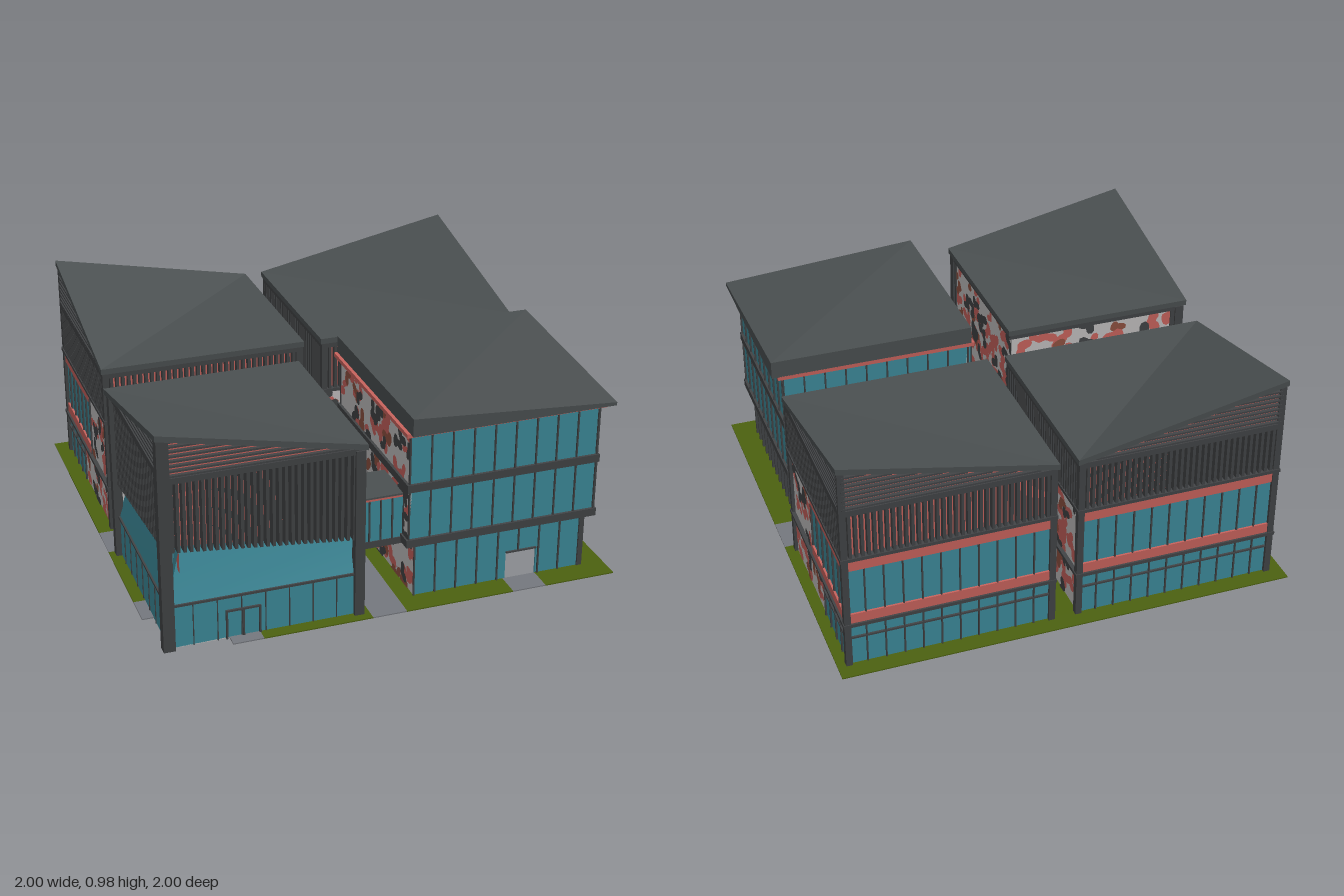
import * as THREE from 'three';
import { mergeGeometries } from 'three/addons/utils/BufferGeometryUtils.js';

const mat = (name, color) => Object.assign(new THREE.MeshStandardMaterial({ color }), { name });
const M = {
  roof: mat('roofGrey', 0x4b5051), frame: mat('frameGrey', 0x424446), glass: mat('tealGlass', 0x3d8b9b),
  red: mat('salmonRed', 0xc8635d), light: mat('lightGrey', 0xc2c0c0), brown: mat('patchBrown', 0x8f5140),
  grass: mat('grassGreen', 0x4c6110), pave: mat('pavingGrey', 0x75787e),
};

let seed = 7;
const rnd = () => (seed = (seed * 16807) % 2147483647) / 2147483647;

function add(parent, name, geo, material) {
  const m = new THREE.Mesh(geo, material);
  m.name = name;
  parent.add(m);
  return m;
}
const boxGeo = (x0, x1, y0, y1, z0, z1) => new THREE.BoxGeometry(x1 - x0, y1 - y0, z1 - z0)
  .translate((x0 + x1) / 2, (y0 + y1) / 2, (z0 + z1) / 2);
const box = (p, name, m, ...d) => add(p, name, boxGeo(...d), m);
const pane = (p, name, m, x0, x1, y0, y1, z = 0) =>
  add(p, name, new THREE.PlaneGeometry(x1 - x0, y1 - y0).translate((x0 + x1) / 2, (y0 + y1) / 2, z), m);

function group(parent, name) {
  const g = new THREE.Group();
  g.name = name;
  parent.add(g);
  return g;
}

// Wall group: local x runs along the wall, local z points outwards
function face(parent, side, [x0, x1, z0, z1]) {
  const g = group(parent, side + 'Wall'), cx = (x0 + x1) / 2, cz = (z0 + z1) / 2;
  const [x, z, turn] = { front: [cx, z1, 0], right: [x1, cz, 1], back: [cx, z0, 2], left: [x0, cz, 3] }[side];
  g.position.set(x, 0, z);
  g.rotation.y = turn * Math.PI / 2;
  const w = turn % 2 ? z1 - z0 : x1 - x0;
  return { g, h: w / 2 };
}

// Glass pane with evenly spaced mullions
function glazing(p, x0, x1, y0, y1, bays, t = 0.006, depth = 0.008) {
  pane(p, 'glass', M.glass, x0, x1, y0, y1);
  const bars = [];
  for (let i = 0; i <= bays; i++) {
    const x = x0 + (x1 - x0) * i / bays;
    bars.push(boxGeo(x - t / 2, x + t / 2, y0, y1, -0.004, depth));
  }
  add(p, 'mullions', mergeGeometries(bars), M.frame);
}

// Light wall covered with irregular patches, cut off at the wall edges
function camo(p, x0, x1, y0, y1) {
  box(p, 'patternWall', M.light, x0, x1, y0, y1, -0.01, 0);
  const area = (x1 - x0) * (y1 - y0);
  [[M.red, 125], [M.brown, 28], [M.frame, 55]].forEach(([m, density], layer) => {
    const blobs = [];
    for (let n = Math.max(2, Math.round(area * density)); n > 0; n--) {
      const cx = x0 + rnd() * (x1 - x0), cy = y0 + rnd() * (y1 - y0);
      const r = 0.026 + rnd() * 0.014, a = rnd() * 6.28, b = rnd() * 6.28;
      const geo = new THREE.CircleGeometry(1, 18), v = geo.attributes.position;
      for (let i = 1; i < v.count; i++) {
        const t = Math.atan2(v.getY(i), v.getX(i));
        const k = r * (1 + 0.4 * Math.sin(2 * t + a) + 0.25 * Math.sin(3 * t + b));
        v.setXY(i, v.getX(i) * k, v.getY(i) * k);
      }
      for (let i = 0; i < v.count; i++) {
        v.setXYZ(i, THREE.MathUtils.clamp(cx + v.getX(i), x0, x1),
          THREE.MathUtils.clamp(cy + v.getY(i), y0, y1), 0.0015 * (layer + 1));
      }
      blobs.push(geo);
    }
    add(p, 'patches', mergeGeometries(blobs), m);
  });
}

// Upright slats; bottom(x) gives the lower end
function slats(p, x0, x1, bottom, top, z0, z1) {
  const n = Math.round((x1 - x0) / 0.026), parts = [];
  for (let i = 0; i <= n; i++) {
    const x = x0 + (x1 - x0) * i / n;
    parts.push(boxGeo(x - 0.0065, x + 0.0065, bottom(x), top, z0, z1));
  }
  add(p, 'slats', mergeGeometries(parts), M.frame);
}

// Red gable rising towards the end hi (+1 or -1), with horizontal louvres
function gable(p, h, hi) {
  const y0 = 0.765, rise = 0.18;
  const s = new THREE.Shape([[-hi * h, y0], [hi * h, y0], [hi * h, y0 + rise]].map(q => new THREE.Vector2(...q)));
  add(p, 'gable', new THREE.ShapeGeometry(s), M.red);
  const parts = [];
  for (let y = y0 + 0.012; y < y0 + rise - 0.01; y += 0.021) {
    const a = hi * h * (2 * (y - y0) / rise - 1), b = hi * h;
    parts.push(boxGeo(Math.min(a, b), Math.max(a, b), y - 0.004, y + 0.004, 0, 0.016));
  }
  add(p, 'louvres', mergeGeometries(parts), M.frame);
}

// Folded roof: one corner (0 back left, 1 front left, 2 front right, 3 back right) differs in height
function roof(p, [x0, x1, z0, z1], corner, odd, rest, under) {
  const c = [[x0, z0], [x0, z1], [x1, z1], [x1, z0]];
  const top = [], low = [], pos = [];
  for (let i = 0; i < 4; i++) {
    const [x, z] = c[(corner + i) % 4], y = i ? rest : odd;
    top.push([x, y, z]);
    low.push([x, under ?? y - 0.025, z]);
  }
  const tri = (...v) => v.forEach(q => pos.push(...q));
  tri(top[0], top[1], top[3]); tri(top[1], top[2], top[3]);
  tri(low[0], low[3], low[1]); tri(low[1], low[3], low[2]);
  for (let i = 0; i < 4; i++) {
    const j = (i + 1) % 4;
    tri(top[i], low[i], low[j]); tri(top[i], low[j], top[j]);
  }
  const g = new THREE.BufferGeometry();
  g.setAttribute('position', new THREE.Float32BufferAttribute(pos, 3));
  g.computeVertexNormals();
  add(p, 'roof', g, M.roof);
}

const slab = (p, name, m, [x0, x1, z0, z1], e, y0, y1) => box(p, name, m, x0 - e, x1 + e, y0, y1, z0 - e, z1 + e);

// Rear buildings: s = 1 on the left side (+x), -1 on the other
function rearBuilding(root, s) {
  const b = group(root, s > 0 ? 'rearLeftBuilding' : 'rearRightBuilding');
  const R = s > 0 ? [0.07, 0.95, -0.92, -0.09] : [-0.93, -0.05, -0.92, -0.09];
  const outer = s > 0 ? 'right' : 'left';
  for (const side of ['front', 'right', 'back', 'left']) {
    const { g, h } = face(b, side, R);
    const span = (a, c) => (s > 0 ? [a, c] : [-c, -a]);
    const split = { [outer]: [0.08, -0.08], back: [-h, -h] }[side];
    if (split) {
      const low = span(split[0], h), up = span(split[1], h);
      const bays = side === 'back' ? 11 : 4;
      glazing(g, ...low, 0, 0.2, bays);
      box(g, 'transom', M.frame, ...low, 0.135, 0.143, 0, 0.009);
      glazing(g, ...up, 0.215, 0.525, side === 'back' ? 11 : 6);
      for (const [y0, y1] of [[0.215, 0.26], [0.475, 0.525]]) box(g, 'redBand', M.red, ...up, y0, y1, -0.002, 0.009);
      if (side === outer) {
        camo(g, ...span(-h, 0.08), 0, 0.2);
        camo(g, ...span(-h, -0.08), 0.215, 0.525);
      }
      gable(g, h, side === 'back' ? -s : s);
    } else {
      camo(g, -h, h, 0, 0.2);
      camo(g, -h, h, 0.215, 0.525);
    }
    pane(g, 'upperWall', M.red, -h, h, 0.54, 0.745, -0.012);
    slats(g, -h, h, () => 0.54, 0.745, -0.012, 0.014);
  }
  slab(b, 'lowerBand', M.frame, R, 0.018, 0.2, 0.215);
  slab(b, 'upperBand', M.frame, R, 0.018, 0.525, 0.54);
  slab(b, 'eavesBand', M.frame, R, 0.014, 0.742, 0.768);
  for (const x of [R[0], R[1]]) for (const z of [R[2], R[3]]) {
    const tall = x === (s > 0 ? R[1] : R[0]) && z === R[2];
    box(b, 'cornerColumn', M.frame, x - 0.014, x + 0.014, 0, tall ? 0.955 : 0.75, z - 0.014, z + 0.014);
  }
  roof(b, [R[0] - 0.02, R[1] + 0.02, -0.94, -0.07], s > 0 ? 3 : 0, 0.975, 0.79);
}

// Front building with leaning glass and a slatted screen
function screenBuilding(root) {
  const b = group(root, 'screenBuilding'), R = [-0.95, -0.14, 0.14, 0.945];
  for (const [side, hi] of [['front', -1], ['left', 1]]) {
    const { g, h } = face(b, side, R);
    const edge = x => 0.395 + hi * x / h * 0.045;
    glazing(g, -h, h, 0, 0.19, 8, 0.004, 0.004);
    box(g, 'sillBand', M.frame, -h, h, 0.19, 0.2, -0.01, 0.008);
    const glass = new THREE.PlaneGeometry(2 * h, 1), v = glass.attributes.position;
    for (let i = 0; i < 4; i++) {
      const up = v.getY(i) > 0;
      v.setXYZ(i, v.getX(i), up ? edge(v.getX(i)) : 0.2, up ? -0.05 : 0);
    }
    glass.computeVertexNormals();
    add(g, 'leaningGlass', glass, M.glass);
    pane(g, 'screenWall', M.red, -h, h, 0.34, 0.745, -0.052);
    slats(g, -h, h, edge, 0.745, -0.035, 0.005);
    gable(g, h, hi);
    if (side === 'front') {
      for (const x of [-0.165, -0.095, -0.025]) box(g, 'doorPost', M.frame, x - 0.004, x + 0.004, 0, 0.13, 0, 0.009);
      box(g, 'doorHead', M.frame, -0.169, -0.021, 0.125, 0.133, 0, 0.009);
    }
  }
  for (const side of ['right', 'back']) {
    const { g, h } = face(b, side, R);
    camo(g, -h, h, 0, 0.745);
  }
  slab(b, 'eavesBand', M.frame, R, 0.012, 0.742, 0.768);
  box(b, 'tallColumn', M.frame, -0.98, -0.93, 0, 0.945, 0.925, 0.97);
  box(b, 'frontColumn', M.frame, -0.167, -0.125, 0, 0.76, 0.925, 0.965);
  box(b, 'sideColumn', M.frame, -0.975, -0.935, 0, 0.76, 0.125, 0.165);
  roof(b, [-0.985, -0.12, 0.12, 0.975], 1, 0.968, 0.79);
}

// Front building with three glazed storeys and an open doorway
function glassBuilding(root) {
  const b = group(root, 'glassBuilding');
  const G = [0.12, 0.88, 0.13, 0.89], U = [0.08, 0.92, 0.11, 0.92];
  for (const side of ['front', 'right', 'back', 'left']) {
    const low = face(b, side, G), up = face(b, side, U);
    for (const [y0, y1] of [[0.295, 0.515], [0.55, 0.772]]) {
      if (side === 'left') camo(up.g, -up.h, up.h, y0, y1);
      else glazing(up.g, -up.h, up.h, y0, y1, 9);
    }
    const h = low.h;
    if (side === 'left') camo(low.g, -h, h, 0, 0.26);
    else if (side === 'front') {
      const d0 = 0.04, d1 = 0.18;
      box(low.g, 'glass', M.glass, -h, d0, 0, 0.26, -0.008, 0);
      box(low.g, 'glass', M.glass, d1, h, 0, 0.26, -0.008, 0);
      box(low.g, 'glass', M.glass, d0, d1, 0.13, 0.26, -0.008, 0);
      for (let i = 0; i <= 8; i++) {
        const x = -h + i * h / 4;
        box(low.g, 'mullion', M.frame, x - 0.003, x + 0.003, x > d0 && x < d1 ? 0.13 : 0, 0.26, 0, 0.008);
      }
      box(low.g, 'doorHead', M.frame, d0, d1, 0.128, 0.135, -0.008, 0.008);
    } else glazing(low.g, -h, h, 0, 0.26, 12, 0.01, side === 'right' ? 0.02 : 0.008);
  }
  slab(b, 'lowerBand', M.frame, U, 0.012, 0.26, 0.295);
  slab(b, 'upperBand', M.frame, U, 0.012, 0.515, 0.55);
  slab(b, 'redEaves', M.red, U, 0.025, 0.772, 0.79);
  roof(b, [0.07, 0.972, 0.085, 0.972], 2, 0.802, 0.867, 0.788);
}

// Glazed footbridge between two buildings
function bridge(root, R, alongX) {
  const b = group(root, 'bridge');
  for (const side of alongX ? ['front', 'back'] : ['left', 'right']) {
    const { g, h } = face(b, side, R);
    glazing(g, -h, h, 0.28, 0.468, 4);
  }
  slab(b, 'bridgeFloor', M.frame, R, 0.004, 0.25, 0.28);
  slab(b, 'redTrim', M.red, R, 0.002, 0.466, 0.476);
  slab(b, 'bridgeRoof', M.roof, R, 0.004, 0.476, 0.484);
}

export function createModel() {
  const root = new THREE.Group();
  root.name = 'campus';
  // Ground pieces: x0, x1, z0, z1
  const ground = group(root, 'ground');
  const pieces = {
    grass: [[-1, 1, -1, -0.92], [-1, -0.93, -0.92, -0.06], [-0.05, 0.07, -0.92, -0.06], [0.95, 1, -0.92, -0.06],
      [-0.93, -0.05, -0.09, -0.06], [0.07, 0.95, -0.09, -0.06], [-1, -0.95, 0.12, 0.56], [-0.57, -0.1, 0.945, 1],
      [-0.14, -0.1, 0.12, 0.945], [0.05, 0.12, 0.12, 1], [0.12, 0.53, 0.89, 1], [0.68, 0.88, 0.89, 1], [0.88, 1, 0.12, 1]],
    pave: [[-1, 1, -0.06, 0.12], [-0.1, 0.05, 0.12, 1], [-1, -0.95, 0.56, 0.7], [-0.7, -0.57, 0.945, 1], [0.53, 0.68, 0.89, 1]],
    light: [[0.07, 0.95, -0.92, -0.09], [-0.95, -0.14, 0.12, 0.945]],
  };
  for (const [key, list] of Object.entries(pieces)) {
    for (const [x0, x1, z0, z1] of list) box(ground, key + 'Slab', M[key], x0, x1, 0, 0.005, z0, z1);
  }
  rearBuilding(root, 1);
  rearBuilding(root, -1);
  screenBuilding(root);
  glassBuilding(root);
  bridge(root, [-0.12, 0.08, 0.65, 0.86], true);
  bridge(root, [-0.61, -0.41, -0.08, 0.13], false);
  return root;
}
